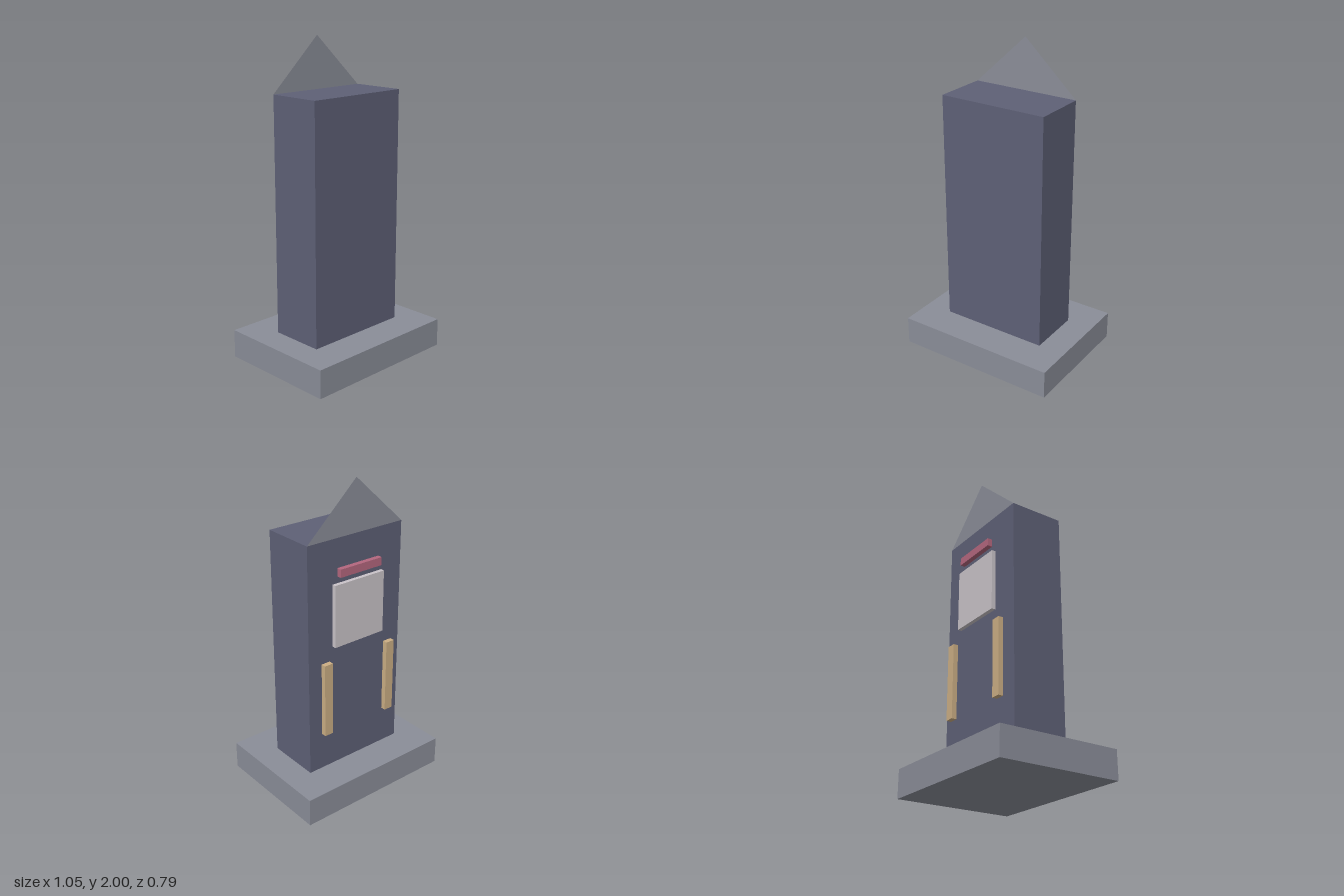
import * as THREE from 'three';

const mat = (name, color) => {
  const m = new THREE.MeshStandardMaterial({ color });
  m.name = name;
  return m;
};

export function createModel() {
  const group = new THREE.Group();
  const stone = mat('greyStone', 0x8a8d98);
  const slate = mat('darkSlate', 0x5e6076);
  const gold = mat('paleGold', 0xcbae84);
  const rose = mat('rose', 0xb4677e);
  const pale = mat('paleGrey', 0xc9c3c8);
  stone.side = THREE.DoubleSide; // the gable is a flat sheet

  // Box from its size, centre x and z, and bottom height
  const box = (name, material, [w, h, d], x, bottom, z) => {
    const mesh = new THREE.Mesh(new THREE.BoxGeometry(w, h, d), material);
    mesh.name = name;
    mesh.position.set(x, bottom + h / 2, z);
    group.add(mesh);
  };

  // Plinth and upright slab
  box('plinth', stone, [1.052, 0.18, 0.79], 0, 0, 0);
  box('slab', slate, [0.702, 1.495, 0.351], 0, 0.18, 0);

  // Flat triangular gable standing on the rear top edge
  const triangle = new THREE.Shape([
    new THREE.Vector2(-0.351, 0),
    new THREE.Vector2(0.351, 0),
    new THREE.Vector2(0, 0.325),
  ]);
  const gable = new THREE.Mesh(new THREE.ShapeGeometry(triangle), stone);
  gable.name = 'gable';
  gable.position.set(0, 1.675, -0.1755);
  group.add(gable);

  // Details hovering just behind the rear face
  box('rearPanel', pale, [0.369, 0.395, 0.026], 0, 1.015, -0.204);
  box('rearBar', rose, [0.308, 0.05, 0.032], 0, 1.455, -0.212);
  for (const [side, s] of [['left', 1], ['right', -1]]) {
    box(side + 'Strip', gold, [0.06, 0.482, 0.032], s * 0.242, 0.445, -0.212);
  }
  return group;
}
